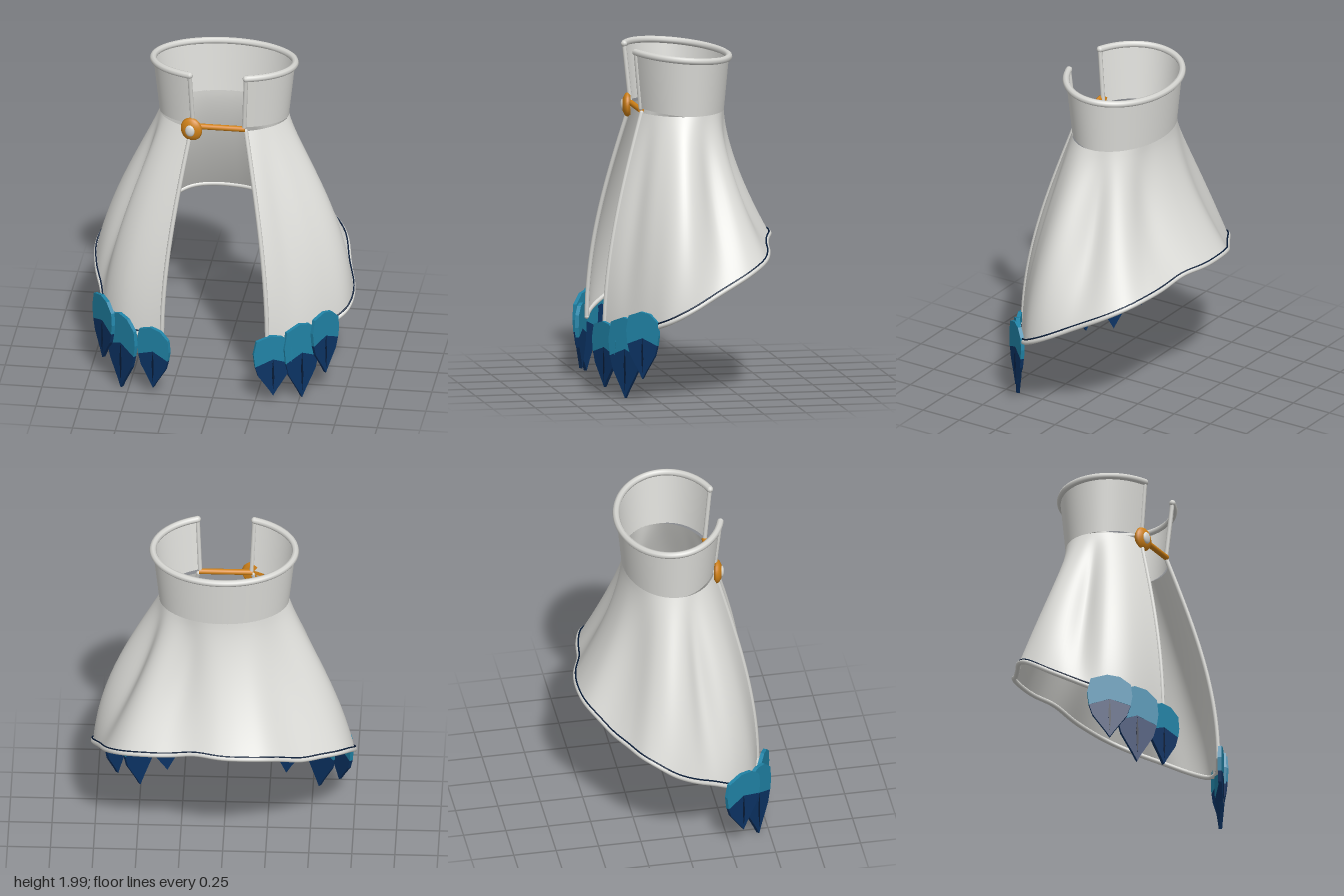
import * as THREE from 'three';

const V = (x, y, z) => new THREE.Vector3(x, y, z);
const mat = (name, color, side = THREE.FrontSide) => {
  const m = new THREE.MeshStandardMaterial({ color, side });
  m.name = name;
  return m;
};

// smooth open sheet from a rule f(u, v) -> Vector3
function sheet(nu, nv, f) {
  const pos = [], idx = [];
  for (let j = 0; j <= nv; j++)
    for (let i = 0; i <= nu; i++) pos.push(...f(i / nu, j / nv).toArray());
  for (let j = 0; j < nv; j++)
    for (let i = 0; i < nu; i++) {
      const a = j * (nu + 1) + i, b = a + nu + 1;
      idx.push(a, b, a + 1, a + 1, b, b + 1);
    }
  const g = new THREE.BufferGeometry();
  g.setAttribute('position', new THREE.Float32BufferAttribute(pos, 3));
  g.setIndex(idx);
  g.computeVertexNormals();
  return g;
}

// rounded piping along a line f(t), closed with small balls at both ends
function piping(f, n, r, material, name) {
  const pts = Array.from({ length: n + 1 }, (_, i) => f(i / n));
  const group = new THREE.Group();
  group.name = name;
  group.add(new THREE.Mesh(
    new THREE.TubeGeometry(new THREE.CatmullRomCurve3(pts), n * 2, r, 8), material));
  for (const p of [pts[0], pts[n]]) {
    const cap = new THREE.Mesh(new THREE.SphereGeometry(r, 8, 6), material);
    cap.position.copy(p);
    group.add(cap);
  }
  return group;
}

export function createModel() {
  const cloth = mat('pale cloth', 0xdededa, THREE.DoubleSide);
  const trim = mat('pale trim', 0xd6d6d2);
  const gold = mat('gold', 0xd18218);
  const teal = mat('teal', 0x2083a6);
  const navy = mat('navy', 0x0b3364);
  const dark = mat('dark groove', 0x051a36);
  const model = new THREE.Group();
  model.name = 'cape';
  const add = (geometry, material, name, parent = model) => {
    const m = new THREE.Mesh(geometry, material);
    m.name = name;
    parent.add(m);
    return m;
  };

  // collar: flared ellipse, open at the front, higher at the front
  const open = 0.41;
  const collarPoint = (u, v) => {
    const a = open + u * (2 * Math.PI - 2 * open);
    const x = Math.sin(a), z = Math.cos(a);
    const top = V(0.414 * x, 1.955 + 0.026 * z, 0.3 * z + 0.007);
    const bottom = V(0.377 * x, 1.62 + 0.03 * Math.max(0, z), 0.268 * z + 0.004);
    return top.lerp(bottom, v);
  };
  add(sheet(72, 4, collarPoint), cloth, 'collar');
  model.add(piping(t => collarPoint(t, 0), 64, 0.02, trim, 'collarRim'));
  for (const u of [0, 1])
    model.add(piping(t => collarPoint(u, t), 4, 0.013, trim, 'collarEdge'));

  // wavy hem outline (x, z), from the left front edge around the back
  const hem = new THREE.CatmullRomCurve3([
    [0.32, 0.5], [0.48, 0.41], [0.64, 0.3], [0.74, 0.2], [0.765, 0.08], [0.72, -0.1],
    [0.67, -0.28], [0.58, -0.39], [0.42, -0.45], [0.2, -0.485], [0.02, -0.54], [-0.13, -0.55],
    [-0.27, -0.525], [-0.42, -0.435], [-0.56, -0.345], [-0.7, -0.25], [-0.76, -0.12],
    [-0.745, 0.02], [-0.7, 0.15], [-0.65, 0.29], [-0.54, 0.4], [-0.3, 0.475],
  ].map(([x, z]) => V(x, 0, z)));

  // folds: angle, depth (negative swells outwards), width
  const folds = [
    [0.72, 0.02, 0.15], [1.4, -0.025, 0.2], [1.87, 0.05, 0.2], [2.63, 0.04, 0.22],
    [3.91, 0.015, 0.25], [4.5, -0.015, 0.2], [4.95, 0.055, 0.17],
  ];
  // hem rises and dips: x, z, height
  const waves = [[0.15, -0.5, 0.02], [-0.46, -0.41, -0.02], [-0.73, -0.2, 0.02]];
  const skirtPoint = (u, v) => {
    const h = hem.getPoint(u);
    let hemY = Math.max(0.36, 0.58 - 0.52 * h.z);
    for (const [x, z, y] of waves)
      hemY += y * Math.exp(-((h.x - x) ** 2 + (h.z - z) ** 2) / 0.015);
    let a = Math.atan2(h.x / 0.74, h.z / 0.54);
    if (a < 0) a += 2 * Math.PI;
    const s = Math.sin(a), c = Math.cos(a);
    // the front swells out early, the back flares late
    const w = Math.pow((1 - c) / 2, 1.5);
    const f = (1 - w) * Math.sin(v * Math.PI / 2) + w * Math.pow(v, 1.5);
    let d = 0;
    for (const [fa, depth, width] of folds)
      d += depth * Math.exp(-(((a - fa) / width) ** 2));
    d *= Math.sin(Math.PI * v);
    return V(
      THREE.MathUtils.lerp(0.377 * s, h.x, f) - d * s,
      THREE.MathUtils.lerp(1.622, hemY, v),
      THREE.MathUtils.lerp(0.268 * c + 0.004, h.z, f) - d * c);
  };
  add(sheet(140, 28, skirtPoint), cloth, 'skirt');
  model.add(piping(t => skirtPoint(t, 1), 90, 0.014, trim, 'hemTrim'));
  for (const u of [0, 1])
    model.add(piping(t => skirtPoint(u, t), 20, 0.013, trim, 'frontEdgeTrim'));

  // thin dark line on the outside, just above the hem trim
  const hemLine = t => {
    const p = skirtPoint(0.02 + 0.96 * t, 0.982);
    const out = V(p.x, 0, p.z).normalize();
    return p.addScaledVector(out, 0.006);
  };
  model.add(piping(hemLine, 90, 0.0045, dark, 'hemLine'));

  // clasp: bar and domed brooch with a pale stone
  const bar = add(new THREE.CylinderGeometry(0.017, 0.017, 0.31, 16), gold, 'claspBar');
  bar.rotation.z = Math.PI / 2;
  bar.position.set(0, 1.635, 0.248);
  const brooch = new THREE.Group();
  brooch.name = 'brooch';
  brooch.position.set(-0.155, 1.622, 0.255);
  brooch.rotation.y = -0.2;
  const dome = [[0, -0.008], [0.055, -0.008], [0.066, 0.008], [0.06, 0.022], [0.035, 0.036], [0, 0.04]];
  const disc = add(new THREE.LatheGeometry(dome.map(p => new THREE.Vector2(...p)), 28), gold, 'broochDisc', brooch);
  disc.rotation.x = Math.PI / 2;
  disc.scale.z = 1.1;
  const stone = add(new THREE.SphereGeometry(0.029, 18, 12), trim, 'broochStone', brooch);
  stone.scale.set(1, 1.25, 0.5);
  stone.position.z = 0.036;
  model.add(brooch);

  // claw plates: teal cap over a navy point
  const cap = [[-0.92, 0.51], [0, 0.61], [0.92, 0.51], [1, 0.66], [0.93, 0.85], [0.45, 0.97], [-0.12, 1], [-0.85, 0.93], [-1, 0.72]];
  const point = [[0, 0], [0.2, 0.1], [0.76, 0.35], [0.92, 0.51], [0, 0.61], [-0.92, 0.51], [-0.76, 0.35], [-0.2, 0.1]];
  const groove = [[0, 0.1], [0.06, 0.3], [0.03, 0.5], [0, 0.6], [-0.06, 0.42], [-0.04, 0.25]];
  const plate = (outline, w, h, depth) => {
    const shape = new THREE.Shape(outline.map(([x, y]) => new THREE.Vector2(x * w, y * h)));
    const g = new THREE.ExtrudeGeometry(shape, { depth, bevelEnabled: false });
    return g.translate(0, 0, -depth / 2);
  };
  // x and z of both ends, tip height, top height
  const claws = [
    [-0.735, 0.21, -0.59, 0.43, 0.135, 0.53], [-0.635, 0.345, -0.445, 0.52, 0.005, 0.48],
    [-0.445, 0.455, -0.245, 0.545, 0.05, 0.435], [0.245, 0.55, 0.46, 0.455, 0.05, 0.435],
    [0.415, 0.49, 0.6, 0.335, 0.005, 0.48], [0.57, 0.42, 0.7, 0.255, 0.135, 0.53],
  ];
  for (const [x0, z0, x1, z1, tip, top] of claws) {
    const claw = new THREE.Group();
    claw.name = 'claw';
    const w = Math.hypot(x1 - x0, z1 - z0) / 2, h = top - tip;
    add(plate(cap, w, h, 0.022), teal, 'clawCap', claw);
    add(plate(point, w, h, 0.02), navy, 'clawPoint', claw);
    add(plate(groove, w, h, 0.006), dark, 'clawGroove', claw).position.z = 0.009;
    claw.position.set((x0 + x1) / 2, tip, (z0 + z1) / 2);
    claw.rotation.y = -Math.atan2(z1 - z0, x1 - x0);
    model.add(claw);
  }
  return model;
}
